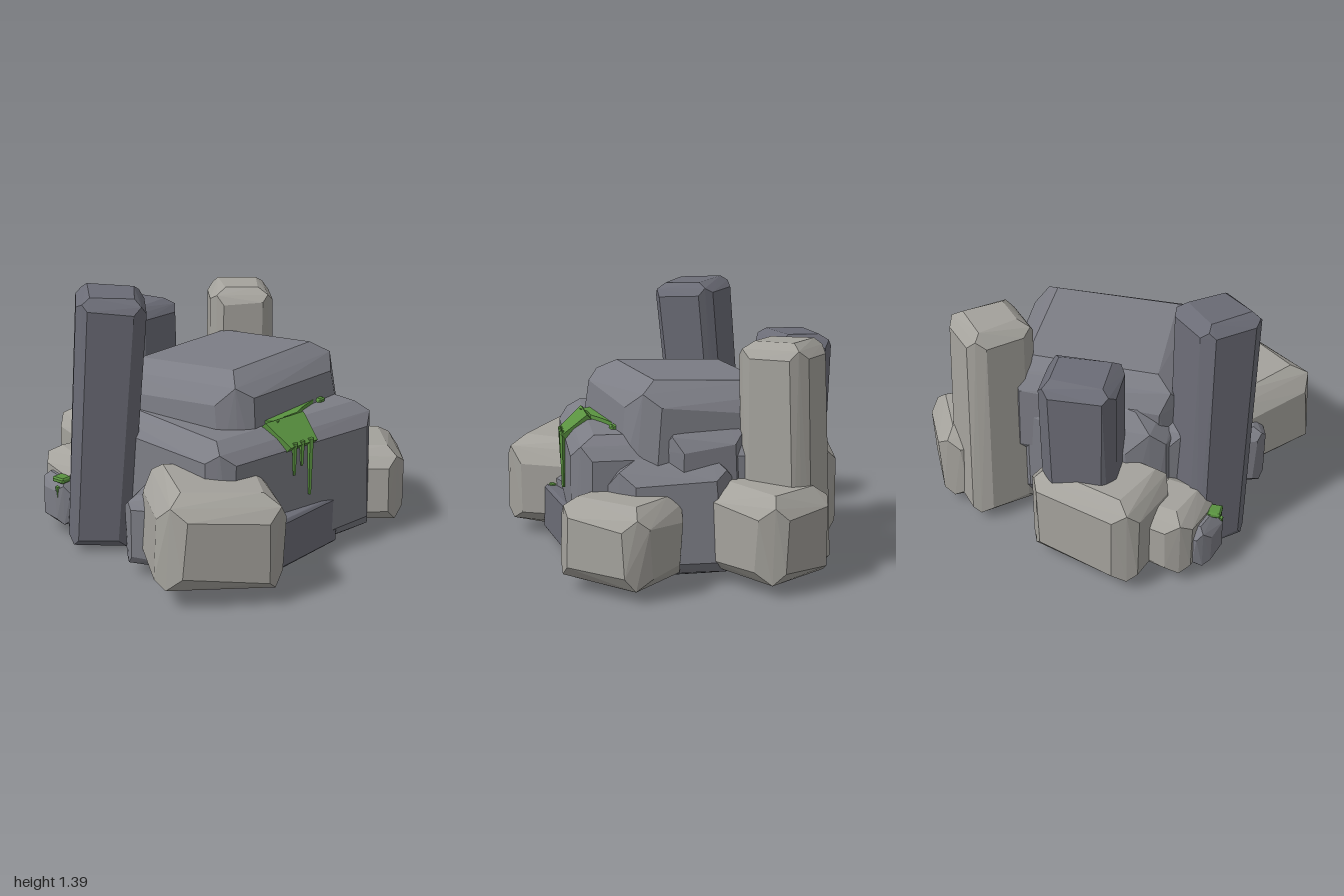
import * as THREE from 'three';
import { ConvexGeometry } from 'three/addons/geometries/ConvexGeometry.js';

const material = (color) => new THREE.MeshStandardMaterial({ color, flatShading: true });

// Block with cut edges and corners and a rounder underside; top and bottom scale its two ends.
function chamferBlock([w, h, d], bevel, top, bottom, under, seed) {
  const wobble = () => {
    seed = (seed * 16807) % 2147483647;
    return (seed / 2147483647 - 0.5) * bevel * 0.4;
  };
  const half = [w / 2, h / 2, d / 2];
  const points = [];
  const addPoint = (p) => {
    const k = THREE.MathUtils.lerp(bottom, top, p[1] / h + 0.5);
    points.push(new THREE.Vector3(p[0] * k, p[1], p[2] * k));
  };
  for (const sx of [-1, 1]) for (const sy of [-1, 1]) for (const sz of [-1, 1]) {
    const sign = [sx, sy, sz];
    for (let face = 0; face < 3; face++) {
      const inset = face === 1 && sy < 0 ? bevel * under : bevel;
      addPoint(half.map((v, i) => sign[i] * (i === face ? v : v - inset + wobble())));
    }
    // rounds the corner slightly
    addPoint(half.map((v, i) => sign[i] * (v - bevel * 0.45)));
  }
  return new ConvexGeometry(points);
}

export function createModel() {
  const model = new THREE.Group();
  const pale = material(0xa4a29c);
  const grey = material(0x7c7d85);
  const dark = material(0x6b6c76);
  const moss = material(0x5a9340);
  let seed = 4177;

  function rock(name, mat, size, pos, rot, bevel, top = 1, bottom = 1, under = 1.6) {
    seed += 7919;
    const mesh = new THREE.Mesh(chamferBlock(size, bevel, top, bottom, under, seed), mat);
    mesh.name = name;
    mesh.position.set(...pos);
    mesh.rotation.set(...rot);
    model.add(mesh);
  }

  // Central mass
  rock('frontBody', grey, [1.16, 0.73, 1.02], [-0.025, 0.375, 0.185], [0, -0.19, 0], 0.105, 0.98, 0.99, 1);
  rock('rearBody', grey, [0.98, 0.78, 0.8], [0.0, 0.42, -0.08], [0, -0.25, 0], 0.16, 0.9, 0.94);
  rock('upperBoulder', grey, [1.0, 0.64, 0.9], [0.05, 0.665, 0.075], [-0.06, 0, 0], 0.135, 0.94, 1.03);
  rock('sideBoulder', grey, [0.6, 0.62, 0.68], [0.36, 0.32, 0.26], [0, -0.23, 0], 0.12, 0.92, 1);
  rock('sideShoulder', grey, [0.5, 0.6, 0.5], [0.365, 0.495, 0.12], [0, 0, 0], 0.12, 0.94, 1);
  rock('frontStep', dark, [0.58, 0.26, 0.42], [-0.15, 0.175, 0.51], [0, 0, -0.03], 0.015, 1, 1, 1);

  // Standing stones
  rock('rightColumn', dark, [0.36, 1.37, 0.35], [-0.57, 0.7, -0.255], [0.09, 0.76, 0], 0.065, 1, 0.93);
  rock('leftColumn', pale, [0.38, 1.18, 0.36], [0.59, 0.61, -0.27], [0, 0.74, 0.025], 0.075, 0.97, 1.03);
  rock('rearColumn', dark, [0.39, 1.06, 0.33], [0.03, 0.625, -0.54], [-0.03, 0, 0], 0.065, 1, 0.97);

  // Pale boulders around the base
  rock('frontRightBoulder', pale, [0.64, 0.52, 0.63], [-0.62, 0.31, 0.485], [0, -0.7, -0.06], 0.115);
  rock('frontLeftBoulder', pale, [0.53, 0.44, 0.46], [0.56, 0.252, 0.57], [0, 0.65, -0.03], 0.1);
  rock('leftBoulder', pale, [0.52, 0.48, 0.48], [0.7, 0.27, -0.14], [0, 0.46, -0.04], 0.105);
  rock('backBoulder', pale, [0.64, 0.53, 0.47], [-0.065, 0.305, -0.58], [0, -0.33, 0], 0.095);
  rock('backRightBoulder', pale, [0.33, 0.4, 0.4], [-0.44, 0.24, -0.54], [0, -0.3, 0], 0.09);

  // Small filler stones
  rock('smallBackStone', grey, [0.2, 0.27, 0.26], [-0.58, 0.2, -0.54], [0, -0.3, 0], 0.06);
  rock('smallSideStone', grey, [0.24, 0.38, 0.24], [-0.68, 0.24, 0.15], [0, 0.35, 0], 0.06);
  rock('smallFrontStone', grey, [0.16, 0.3, 0.16], [-0.33, 0.25, 0.58], [0, 0.2, 0], 0.05);

  // Moss patch draped over the front edge: four corners given a small thickness
  const corners = [[-0.27, 0.765, 0.545], [0, 0.765, 0.585], [-0.05, 0.655, 0.71], [-0.24, 0.655, 0.68]];
  const drape = new THREE.Mesh(new ConvexGeometry(corners.flatMap(([x, y, z]) => [
    new THREE.Vector3(x, y, z),
    new THREE.Vector3(x, y - 0.03, z - 0.03),
  ])), moss);
  drape.name = 'mossDrape';
  model.add(drape);

  // Moss drips
  for (const [x, y, z, length, width] of [
    [-0.2, 0.67, 0.675, 0.17, 0.015],
    [-0.15, 0.67, 0.685, 0.13, 0.015],
    [-0.09, 0.67, 0.695, 0.3, 0.017],
    [-0.68, 0.3, -0.5, 0.12, 0.015],
  ]) {
    const drip = new THREE.Mesh(new THREE.CylinderGeometry(width, width * 0.5, length, 5), moss);
    drip.name = 'mossDrip';
    drip.position.set(x, y - length / 2, z);
    model.add(drip);
  }

  // Wavy moss strip lying on the ledge
  const outline = [[-0.24, 0.48], [-0.05, 0.5], [0.2, 0.48], [0.2, 0.51], [0.08, 0.53], [-0.02, 0.56], [-0.12, 0.55], [-0.2, 0.57]];
  const strip = new THREE.Shape(outline.map(([x, z]) => new THREE.Vector2(x, -z)));
  const stripMesh = new THREE.Mesh(new THREE.ExtrudeGeometry(strip, { depth: 0.03, bevelEnabled: false }), moss);
  stripMesh.name = 'mossStrip';
  stripMesh.rotation.x = -Math.PI / 2;
  stripMesh.position.y = 0.73;
  model.add(stripMesh);

  // Loose moss tufts
  for (const [w, h, d, x, y, z] of [
    [0.05, 0.03, 0.05, 0.25, 0.745, 0.51],
    [0.05, 0.03, 0.06, -0.38, 0.31, 0.67],
    [0.07, 0.03, 0.08, -0.65, 0.335, -0.5],
  ]) {
    const tuft = new THREE.Mesh(chamferBlock([w, h, d], 0.008, 1, 1, 1, 11), moss);
    tuft.name = 'mossTuft';
    tuft.position.set(x, y, z);
    model.add(tuft);
  }
  return model;
}
